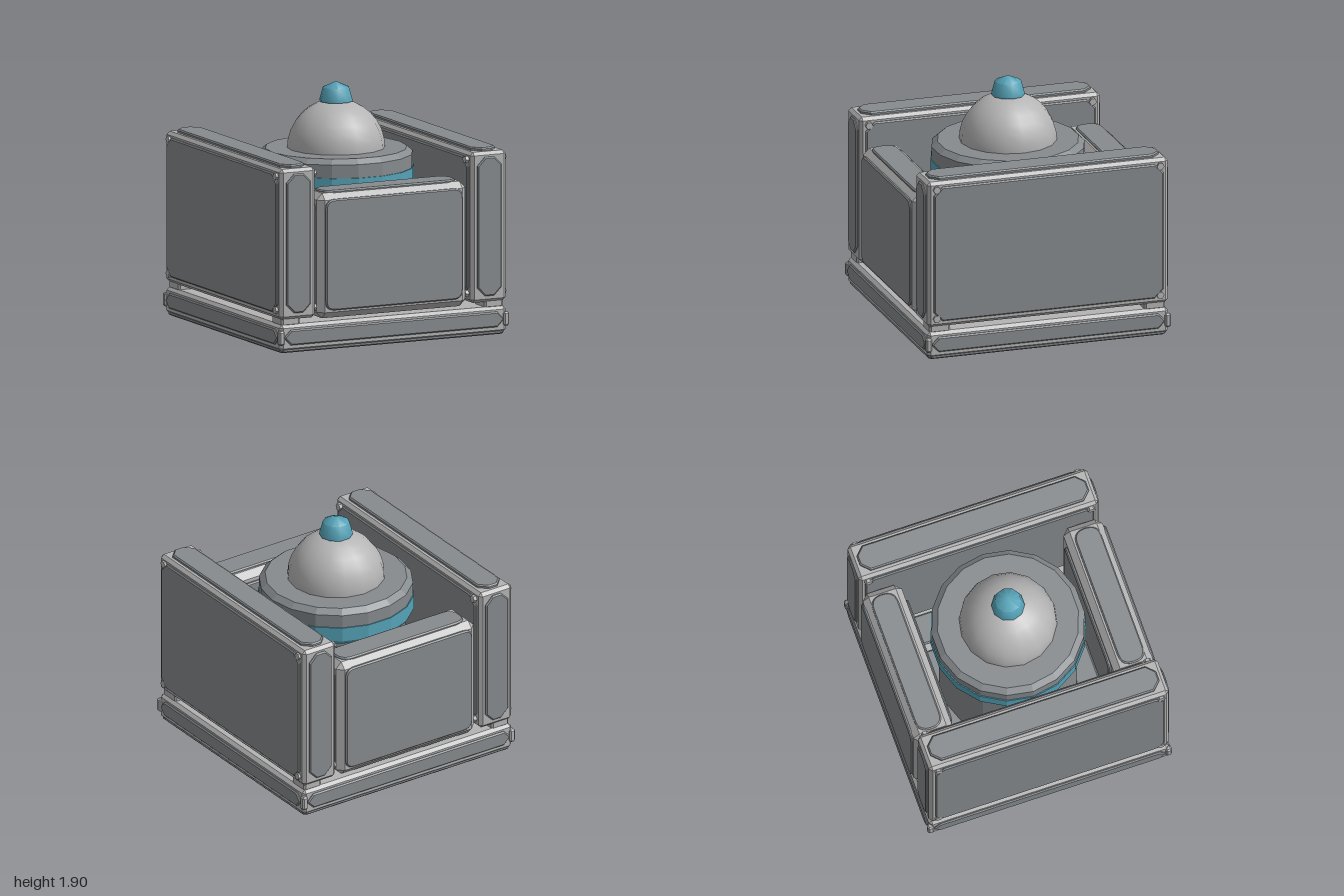
import * as THREE from 'three';
import { ConvexGeometry } from 'three/addons/geometries/ConvexGeometry.js';
import { toCreasedNormals } from 'three/addons/utils/BufferGeometryUtils.js';

export function createModel() {
  const material = (name, color) => {
    const m = new THREE.MeshStandardMaterial({ color });
    m.name = name;
    return m;
  };
  const frameGrey = material('frame grey', 0xb4b4b4);
  const panelGrey = material('panel grey', 0x868b8e);
  const teal = material('teal', 0x55a3b8);

  const model = new THREE.Group();
  model.name = 'emitterBlock';

  function add(parent, name, geometry, mat, x = 0, y = 0, z = 0) {
    const mesh = new THREE.Mesh(geometry, mat);
    mesh.name = name;
    mesh.position.set(x, y, z);
    parent.add(mesh);
    return mesh;
  }

  function group(name) {
    const g = new THREE.Group();
    g.name = name;
    model.add(g);
    return g;
  }

  // Box with every edge cut at 45 degrees
  function chamferBox(w, h, d, c) {
    const pts = [];
    for (const sx of [-1, 1]) for (const sy of [-1, 1]) for (const sz of [-1, 1]) {
      const [x, y, z] = [w / 2, h / 2, d / 2];
      pts.push(
        new THREE.Vector3(sx * x, sy * (y - c), sz * (z - c)),
        new THREE.Vector3(sx * (x - c), sy * y, sz * (z - c)),
        new THREE.Vector3(sx * (x - c), sy * (y - c), sz * z));
    }
    return new ConvexGeometry(pts);
  }

  // Raised plate with cut or rounded corners and a narrow bevelled rim
  function plateGeometry(w, h, corner, rounded, depth) {
    const b = 0.01, x = w / 2 - b, y = h / 2 - b, c = corner;
    const s = new THREE.Shape();
    const turn = (cx, cy, px, py) => rounded ? s.quadraticCurveTo(cx, cy, px, py) : s.lineTo(px, py);
    s.moveTo(-x + c, -y);
    s.lineTo(x - c, -y); turn(x, -y, x, -y + c);
    s.lineTo(x, y - c); turn(x, y, x - c, y);
    s.lineTo(-x + c, y); turn(-x, y, -x, y - c);
    s.lineTo(-x, -y + c); turn(-x, -y, -x + c, -y);
    const g = new THREE.ExtrudeGeometry(s, {
      depth, bevelEnabled: true, bevelSize: b, bevelThickness: b, bevelSegments: 1, curveSegments: 5,
    });
    return g.translate(0, 0, -depth - b);
  }

  // Rotations that turn a plate from +z to the given side
  const turns = {
    front: [0, 0], back: [0, Math.PI], left: [0, Math.PI / 2],
    right: [0, -Math.PI / 2], top: [-Math.PI / 2, 0], bottom: [Math.PI / 2, 0],
  };
  function plate(parent, side, w, h, corner, rounded, x, y, z, depth = 0.02) {
    const mesh = add(parent, side + 'Panel', plateGeometry(w, h, corner, rounded, depth), panelGrey, x, y, z);
    mesh.rotation.set(turns[side][0], turns[side][1], 0);
  }

  // Base slab with side panels, floor and underside
  const base = group('base');
  add(base, 'baseFrame', chamferBox(1.96, 0.21, 1.96, 0.025), frameGrey, 0, 0.115, 0);
  plate(base, 'front', 1.89, 0.12, 0.045, false, 0, 0.12, 0.995);
  plate(base, 'back', 1.89, 0.12, 0.045, false, 0, 0.12, -0.995);
  plate(base, 'left', 1.89, 0.12, 0.045, false, 0.995, 0.12, 0);
  plate(base, 'right', 1.89, 0.12, 0.045, false, -0.995, 0.12, 0);
  plate(base, 'bottom', 1.94, 1.94, 0.02, false, 0, 0, 0);
  plate(base, 'top', 0.74, 1.3, 0.01, false, 0, 0.235, 0);
  for (const s of [-1, 1]) plate(base, 'top', 0.24, 1.3, 0.01, false, s * 0.55, 0.235, 0);
  for (const sx of [-1, 1]) for (const sz of [-1, 1]) {
    add(base, 'cornerLug', chamferBox(0.05, 0.11, 0.05, 0.012), frameGrey, sx * 0.972, 0.12, sz * 0.972);
  }

  // Tall side walls with panels, corner bolts and feet
  const boltGeometry = toCreasedNormals(new THREE.CylinderGeometry(0.03, 0.03, 0.35, 6), 0.5).rotateZ(Math.PI / 2);
  for (const s of [-1, 1]) {
    const wall = group(s > 0 ? 'leftWall' : 'rightWall');
    const cx = s * 0.827;
    add(wall, 'wallFrame', chamferBox(0.305, 1.18, 1.96, 0.025), frameGrey, cx, 0.85, 0);
    plate(wall, 'left', 1.87, 1.09, 0.065, false, cx + 0.17, 0.855, 0);
    plate(wall, 'right', 1.87, 1.09, 0.065, false, cx - 0.17, 0.855, 0);
    plate(wall, 'front', 0.21, 1.09, 0.06, false, cx, 0.855, 0.995);
    plate(wall, 'back', 0.21, 1.09, 0.06, false, cx, 0.855, -0.995);
    plate(wall, 'top', 0.21, 1.87, 0.06, false, cx, 1.465, 0);
    for (const sz of [-1, 1]) {
      for (const y of [0.33, 1.38]) add(wall, 'cornerBolt', boltGeometry, frameGrey, cx - s * 0.005, y, sz * 0.91);
      add(wall, 'foot', chamferBox(0.16, 0.08, 0.17, 0.015), frameGrey, s * 0.88, 0.245, sz * 0.875);
    }
  }

  // Lower front and back blocks
  for (const s of [-1, 1]) {
    const block = group(s > 0 ? 'frontBlock' : 'backBlock');
    const cz = s * 0.82;
    add(block, 'blockFrame', chamferBox(1.29, 0.98, 0.32, 0.05), frameGrey, 0, 0.73, cz);
    plate(block, s > 0 ? 'front' : 'back', 1.19, 0.87, 0.07, true, 0, 0.74, s * 0.998);
    plate(block, s > 0 ? 'back' : 'front', 1.06, 0.8, 0.07, true, 0, 0.74, s * 0.638);
    plate(block, 'top', 1.17, 0.21, 0.09, true, 0, 1.235, s * 0.83);
    for (const e of ['left', 'right']) {
      plate(block, e, 0.2, 0.85, 0.06, true, (e === 'left' ? 1 : -1) * 0.655, 0.73, cz);
    }
  }

  // Round emitter: column, teal band, drum, dome and tip
  const emitter = group('emitter');
  const lathe = (points, sides, crease) => toCreasedNormals(
    new THREE.LatheGeometry(points.map(([r, y]) => new THREE.Vector2(r, y)), sides, Math.PI / 2), crease);
  add(emitter, 'column', lathe([[0.54, 0.22], [0.54, 1.12]], 18, 0.1), panelGrey);
  add(emitter, 'tealBand', lathe([[0, 1.1], [0.585, 1.1], [0.605, 1.13], [0.605, 1.245], [0.55, 1.245]], 18, 0.1), teal);
  add(emitter, 'drum', lathe([[0.597, 1.24], [0.597, 1.35], [0.55, 1.39], [0, 1.39]], 18, 0.1), panelGrey);
  add(emitter, 'dome',
    new THREE.SphereGeometry(0.38, 16, 8, 0, Math.PI * 2, 0, Math.PI / 2), frameGrey, 0, 1.385, 0);
  add(emitter, 'tip',
    lathe([[0, 1.75], [0.13, 1.75], [0.127, 1.77], [0.102, 1.86], [0, 1.905]], 10, 0.9), teal);

  return model;
}
